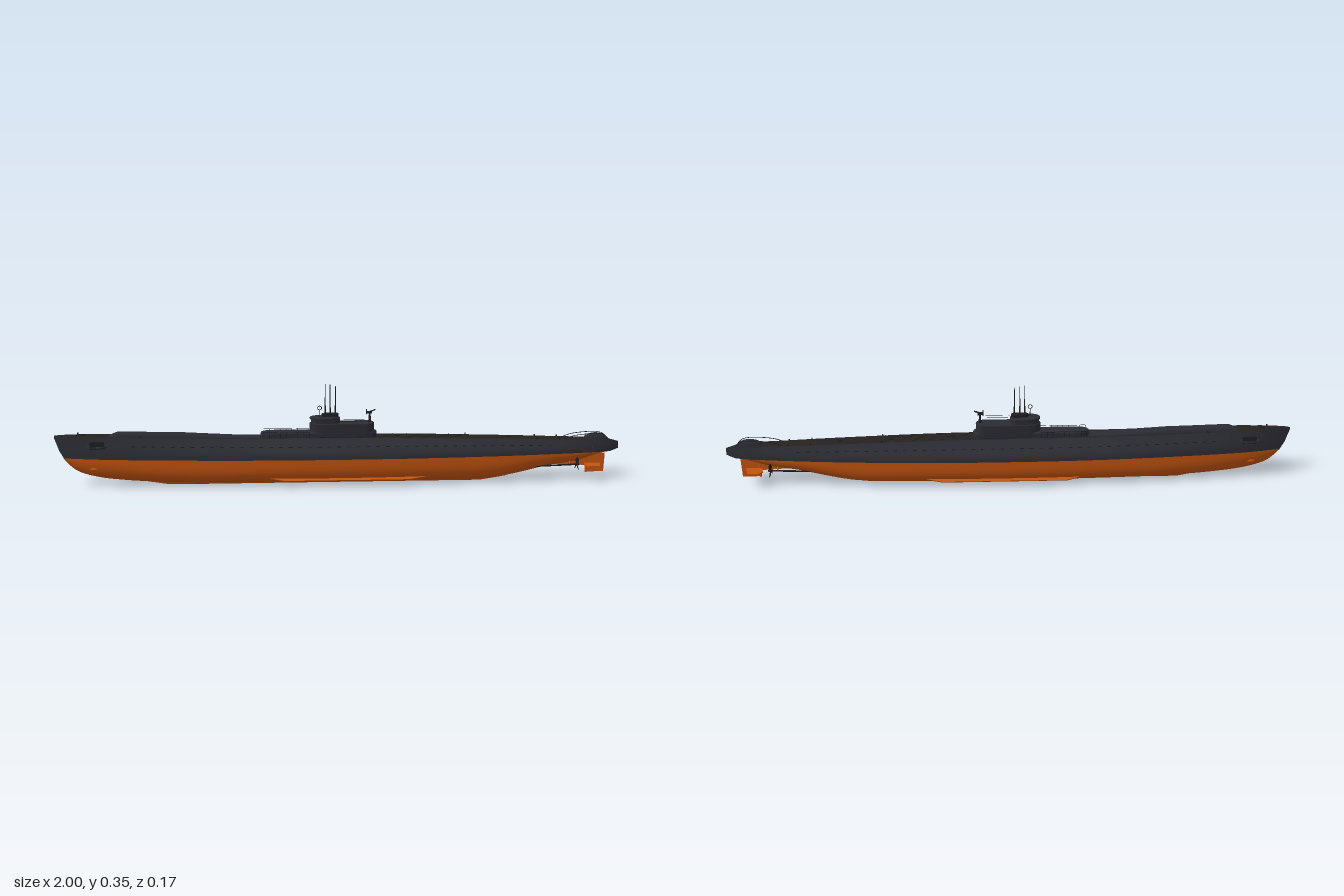
import * as THREE from 'three';

const mat = (color) => new THREE.MeshStandardMaterial({ color, side: THREE.DoubleSide });
const DARK = mat(0x2b2b33), DECK = mat(0x25221f), RED = mat(0xc4540f), METAL = mat(0x1e1e20);

// smooth interpolation through [x, value] pairs
function curve(keys) {
  const slope = (i) => {
    const a = keys[Math.max(i - 1, 0)], b = keys[Math.min(i + 1, keys.length - 1)];
    return (b[1] - a[1]) / (b[0] - a[0]);
  };
  return (x) => {
    let i = 0;
    while (i < keys.length - 2 && x > keys[i + 1][0]) i++;
    const [x0, v0] = keys[i], [x1, v1] = keys[i + 1], h = x1 - x0;
    const t = Math.min(Math.max((x - x0) / h, 0), 1), t2 = t * t, t3 = t2 * t;
    return (2 * t3 - 3 * t2 + 1) * v0 + (t3 - 2 * t2 + t) * h * slope(i)
      + (3 * t2 - 2 * t3) * v1 + (t3 - t2) * h * slope(i + 1);
  };
}

// hull lines: bow at -x, stern at +x
const beam = curve([[-1, 0.002], [-0.97, 0.012], [-0.9, 0.028], [-0.8, 0.044], [-0.6, 0.063], [-0.4, 0.077],
  [-0.2, 0.085], [0, 0.087], [0.2, 0.085], [0.4, 0.077], [0.6, 0.064], [0.8, 0.044], [0.9, 0.03], [0.97, 0.015], [1, 0.002]]);
const keel = curve([[-1, 0.172], [-0.985, 0.13], [-0.965, 0.09], [-0.93, 0.055], [-0.88, 0.035], [-0.8, 0.021],
  [-0.65, 0.011], [-0.4, 0.008], [0.4, 0.008], [0.55, 0.012], [0.65, 0.029], [0.75, 0.051], [0.85, 0.065], [0.92, 0.088], [1, 0.108]]);
const deckY = curve([[-1, 0.178], [-0.98, 0.18], [-0.8, 0.176], [-0.6, 0.171], [-0.3, 0.166], [0.2, 0.163],
  [0.5, 0.156], [0.8, 0.147], [0.95, 0.143], [1, 0.132]]);
const deckHalf = curve([[-1, 0.002], [-0.9, 0.02], [-0.7, 0.03], [0, 0.034], [0.6, 0.03], [0.88, 0.022], [0.96, 0.013], [1, 0.002]]);
const bulge = curve([[0, 1], [0.23, 0.95], [0.46, 0.76], [0.69, 0.43], [0.85, 0.2], [1, 0]]);
const split = (x) => Math.max(0.1, keel(x));
const sidePoint = (x, t) => {
  const d = deckHalf(x), s = split(x);
  return [s + (deckY(x) - s) * t, d + (beam(x) - d) * bulge(t)];
};

// skin over rings of [y, z] placed along x
function loft(x0, x1, n, ring, power = 1) {
  const pos = [], index = [];
  let m = 0;
  for (let i = 0; i <= n; i++) {
    const x = x0 + (x1 - x0) * i / n, pts = ring(x);
    m = pts.length;
    pts.forEach(([y, z]) => pos.push(x, y, z));
  }
  for (let i = 0; i < n; i++) for (let j = 0; j < m - 1; j++) {
    const a = i * m + j, b = a + m;
    index.push(a, b, b + 1, a, b + 1, a + 1);
  }
  const g = new THREE.BufferGeometry();
  g.setAttribute('position', new THREE.Float32BufferAttribute(pos, 3));
  g.setIndex(index);
  g.computeVertexNormals();
  return g;
}

// rounded-end plan outline, extruded upward
function slab(x0, x1, half, y0, y1, bevel = 0.003) {
  const s = new THREE.Shape(), r = half - bevel;
  s.absellipse(x0 + half * 1.6, 0, half * 1.6 - bevel, r, Math.PI / 2, Math.PI * 1.5, false);
  s.absellipse(x1 - half, 0, r, r, -Math.PI / 2, Math.PI / 2, false);
  const g = new THREE.ExtrudeGeometry(s, { depth: y1 - y0 - 2 * bevel, bevelSize: bevel, bevelThickness: bevel, bevelSegments: 2, curveSegments: 14 });
  return g.rotateX(-Math.PI / 2).translate(0, y0 + bevel, 0);
}

// flat plate from an outline, thickness centred
function plate(points, thick) {
  const s = new THREE.Shape(points.map(([a, b]) => new THREE.Vector2(a, b)));
  return new THREE.ExtrudeGeometry(s, { depth: thick, bevelEnabled: false }).translate(0, 0, -thick / 2);
}

const box = (w, h, d, x, y, z) => new THREE.BoxGeometry(w, h, d).translate(x, y, z);
const ball = (rx, ry, rz, x, y, z) => new THREE.SphereGeometry(1, 16, 12).scale(rx, ry, rz).translate(x, y, z);
function rod(a, b, r, r2 = r) {
  const p = new THREE.Vector3(...a), d = new THREE.Vector3(...b).sub(p), len = d.length();
  return new THREE.CylinderGeometry(r2, r, len, 10).translate(0, len / 2, 0)
    .applyQuaternion(new THREE.Quaternion().setFromUnitVectors(new THREE.Vector3(0, 1, 0), d.normalize()))
    .translate(p.x, p.y, p.z);
}
const pipe = (pts, r) => new THREE.TubeGeometry(new THREE.CatmullRomCurve3(pts.map((p) => new THREE.Vector3(...p))), 24, r, 6);

export function createModel() {
  const model = new THREE.Group();
  const add = (name, geo, material, parent = model) => {
    const mesh = new THREE.Mesh(geo, material);
    mesh.name = name;
    parent.add(mesh);
    return mesh;
  };

  // hull
  add('lowerHull', loft(-1, 1, 120, (x) => {
    const s = split(x), h = s - Math.min(keel(x), s), w = beam(x);
    const e = 2 / (1.5 + 1.5 * Math.min(1, (1 - Math.abs(x)) / 0.5)), pts = [];
    for (let j = 0; j <= 24; j++) {
      const a = Math.PI * j / 24, c = Math.cos(a);
      pts.push([s - h * Math.pow(Math.sin(a), e), -w * Math.sign(c) * Math.pow(Math.abs(c), e)]);
    }
    return pts;
  }), RED);
  for (const side of [1, -1]) add('upperHull', loft(-1, 1, 120, (x) => {
    const pts = Array.from({ length: 11 }, (_, j) => sidePoint(x, j / 10));
    return side > 0 ? pts : pts.reverse().map(([y, z]) => [y, -z]);
  }), DARK);
  add('deck', loft(-1, 1, 80, (x) => [1, 0.5, 0, -0.5, -1].map((f) => [deckY(x) + 0.001 * (1 - f * f), f * deckHalf(x)])), DECK);
  add('ballastKeel', loft(-0.7, 0.6, 40, (x) => {
    const w = 0.013 * Math.min(1, (x + 0.7) / 0.1, (0.6 - x) / 0.1), y = 0.012 * (1 - w / 0.013);
    return [[0.02, -w], [y, -w], [y, w], [0.02, w]];
  }), RED);

  // raised forward casing
  add('forwardCasing', loft(-0.81, -0.26, 40, (x) => {
    const y = deckY(x), h = 0.012 * Math.min(1, (x + 0.81) / 0.03) * Math.min(1, (-0.26 - x) / 0.3), w = 0.023;
    return [[y - 0.002, w], [y + h * 0.7, w - 0.002], [y + h, w - 0.006], [y + h, 0.006 - w], [y + h * 0.7, 0.002 - w], [y - 0.002, -w]];
  }), DARK);

  // conning tower
  const tower = new THREE.Group();
  tower.name = 'conningTower';
  model.add(tower);
  add('towerBase', slab(-0.28, 0.13, 0.027, 0.155, 0.185, 0.005), DARK, tower);
  add('towerBody', slab(-0.108, 0.12, 0.029, 0.165, 0.215), DARK, tower);
  add('bridge', slab(-0.103, 0.0, 0.026, 0.21, 0.234), DARK, tower);
  add('bridgeLip', slab(-0.107, -0.005, 0.029, 0.228, 0.236, 0.002), DARK, tower);
  add('periscopeHousing', slab(-0.065, -0.005, 0.011, 0.23, 0.248), METAL, tower);
  [[-0.052, 0.353], [-0.035, 0.35], [-0.016, 0.345]].forEach(([x, top]) => {
    add('periscopeBase', rod([x, 0.23, 0], [x, 0.275, 0], 0.0032, 0.0025), METAL, tower);
    add('periscope', rod([x, 0.27, 0], [x, top, 0], 0.0018, 0.0012), METAL, tower);
  });
  add('loopAerialMast', rod([-0.072, 0.23, 0.01], [-0.072, 0.262, 0.01], 0.0014), METAL, tower);
  add('loopAerial', new THREE.TorusGeometry(0.007, 0.0012, 6, 18).translate(-0.072, 0.269, 0.01), METAL, tower);
  for (const y of [0.222, 0.23]) add('platformRail', pipe([[0, y, 0.025], [0.06, y, 0.025], [0.085, y, 0.024]], 0.0008), METAL, tower);

  // deck gun on the rear platform
  const gun = new THREE.Group();
  gun.name = 'platformGun';
  tower.add(gun);
  add('gunPedestal', rod([0.105, 0.21, 0], [0.105, 0.246, 0], 0.006, 0.003), METAL, gun);
  add('gunBreech', box(0.02, 0.008, 0.008, 0.103, 0.249, 0), METAL, gun);
  for (const z of [0.003, -0.003]) add('gunBarrel', rod([0.1, 0.25, z], [0.125, 0.259, z], 0.0015), METAL, gun);
  add('gunShield', box(0.003, 0.016, 0.018, 0.094, 0.252, 0), METAL, gun);

  for (const s of [1, -1]) {
    // rails beside the casing
    add('casingRail', rod([-0.27, 0.187, s * 0.029], [-0.11, 0.187, s * 0.029], 0.0008), METAL);
    for (let i = 0; i < 9; i++) add('railPost', rod([-0.27 + i * 0.02, 0.163, s * 0.029], [-0.27 + i * 0.02, 0.187, s * 0.029], 0.0008), METAL);

    // bow planes with their pivots
    const bowPlane = plate([[-0.875, 0.015], [-0.885, 0.045], [-0.87, 0.059], [-0.835, 0.063], [-0.812, 0.052], [-0.81, 0.015]], 0.004);
    add('bowPlane', bowPlane.rotateX(Math.PI / 2).scale(1, 1, s).translate(0, 0.147, 0), DARK);
    add('bowPlaneBracket', box(0.05, 0.026, 0.004, -0.845, 0.153, s * 0.052), METAL);

    // torpedo tube doors
    for (const y of [0.062, 0.08]) add('torpedoDoor', ball(0.016, 0.006, 0.004, -0.86, y, s * 0.029), RED);

    // flood slots along the upper hull
    for (let i = 0; i < 44; i++) {
      const x = -0.72 + i * 0.034, [y, z] = sidePoint(x, 0.62);
      add('floodSlot', box(0.014, 0.003, 0.002, x, y, s * z), METAL);
    }

    // bilge keels
    add('bilgeKeel', plate([[-0.25, 0], [-0.2, 0.014], [0.24, 0.014], [0.3, 0]], 0.004)
      .rotateX(s * (Math.PI / 2 + 0.5)).translate(0, 0.03, s * 0.068), RED);

    // shafts, struts and propellers
    add('shaft', rod([0.6, 0.05, s * 0.036], [0.85, 0.058, s * 0.034], 0.003), METAL);
    add('shaftStrut', rod([0.82, 0.057, s * 0.034], [0.82, 0.085, s * 0.015], 0.0025), RED);
    const prop = new THREE.Group();
    prop.name = 'propeller';
    prop.position.set(0.845, 0.058, s * 0.034);
    model.add(prop);
    add('hub', ball(0.01, 0.005, 0.005, 0, 0, 0), METAL, prop);
    for (let k = 0; k < 3; k++) {
      const blade = add('blade', ball(0.0016, 0.012, 0.01, 0, 0, 0).rotateY(s * 0.45).translate(0, 0.015, 0), METAL, prop);
      blade.rotation.x = k * Math.PI * 2 / 3;
    }

    // stern planes and propeller guards
    const sternPlane = plate([[0.88, 0], [0.872, 0.035], [0.885, 0.052], [0.925, 0.05], [0.935, 0.008], [0.935, 0]], 0.004);
    add('sternPlane', sternPlane.rotateX(Math.PI / 2).scale(1, 1, s).translate(0, 0.053, 0), RED);
    add('propellerGuard', pipe([[0.8, 0.112, s * 0.04], [0.84, 0.113, s * 0.052], [0.91, 0.113, s * 0.054], [0.945, 0.115, s * 0.018]], 0.0018), DARK);
    for (const x of [0.86, 0.9]) add('guardStrut', rod([x, 0.113, s * 0.053], [x, 0.122, s * 0.024], 0.0015), DARK);
    add('sternRail', pipe([[0.8, 0.148, s * 0.018], [0.84, 0.16, s * 0.018], [0.94, 0.162, s * 0.014], [0.965, 0.14, s * 0.008]], 0.0012), METAL);

    // mooring bollards
    for (const x of [-0.92, -0.7, 0.45, 0.7, 0.78]) {
      const y = deckY(x), z = s * deckHalf(x) * 0.85;
      add('bollard', rod([x, y - 0.003, z], [x, y + 0.006, z], 0.0025), METAL);
    }
  }

  // stern fittings
  add('sternHousing', ball(0.045, 0.024, 0.014, 0.915, 0.142, 0), DARK);
  add('skeg', plate([[0.7, 0.052], [0.82, 0.05], [0.885, 0.046], [0.885, 0.095], [0.7, 0.075]], 0.007), RED);
  add('rudder', plate([[0.888, 0.022], [0.95, 0.022], [0.953, 0.09], [0.888, 0.088]], 0.006), RED);
  add('rudderPost', rod([0.887, 0.02, 0], [0.887, 0.11, 0], 0.004), RED);

  // deck hatches and lattice aft of the tower
  for (const x of [-0.9, 0.2, 0.42, 0.6]) add('hatch', rod([x, deckY(x) - 0.002, 0], [x, deckY(x) + 0.004, 0], 0.01, 0.009), METAL);
  for (let i = 0; i < 6; i++) for (const s of [1, -1]) {
    const a = 0.14 + i * 0.05, b = a + 0.05;
    add('deckLattice', rod([a, deckY(a) + 0.001, s * 0.028], [b, deckY(b) + 0.001, -s * 0.028], 0.0012), METAL);
  }
  return model;
}
